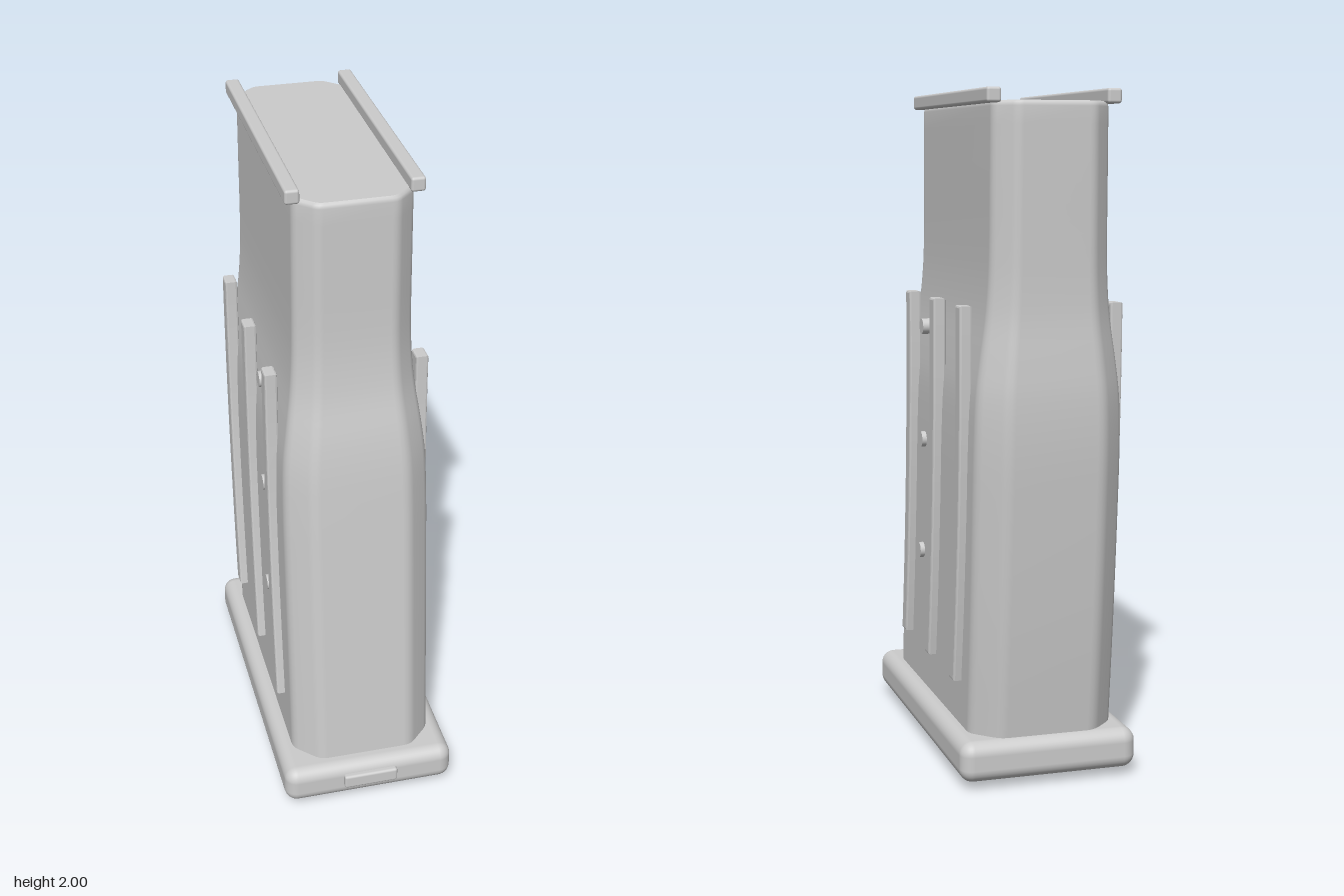
import * as THREE from 'three';
import { RoundedBoxGeometry } from 'three/addons/geometries/RoundedBoxGeometry.js';

const material = new THREE.MeshStandardMaterial({ color: 0xcccccc });

function add(parent, name, geometry, x = 0, y = 0, z = 0) {
  const mesh = new THREE.Mesh(geometry, material);
  mesh.name = name;
  mesh.position.set(x, y, z);
  parent.add(mesh);
  return mesh;
}

// Outline of one level: a rectangle with chamfered, slightly softened corners
function outline(halfWidth, front, back, chamfer) {
  const w = halfWidth, c = chamfer;
  const corners = [
    [w, front - c], [w, back + c], [w - c, back], [c - w, back],
    [-w, back + c], [-w, front - c], [c - w, front], [w - c, front],
  ].map(([x, z]) => new THREE.Vector2(x, z));
  const points = [];
  corners.forEach((p, i) => {
    const before = corners[(i + 7) % 8], after = corners[(i + 1) % 8];
    const soft = c * 0.3;
    const a = p.clone().add(before.clone().sub(p).setLength(soft));
    const b = p.clone().add(after.clone().sub(p).setLength(soft));
    points.push(...new THREE.QuadraticBezierCurve(a, p, b).getPoints(3));
  });
  return points;
}

// Skin through outlines stacked in y, closed by flat caps
function loft(levels) {
  const positions = [], index = [];
  const rings = levels.map(([y, ...rest]) => ({ y, points: outline(...rest) }));
  const n = rings[0].points.length;
  const pushRing = ({ y, points }) => points.forEach((p) => positions.push(p.x, y, p.y));
  rings.forEach(pushRing);
  for (let r = 0; r < rings.length - 1; r++) {
    for (let i = 0; i < n; i++) {
      const a = r * n + i, b = r * n + (i + 1) % n;
      index.push(a, b, b + n, a, b + n, a + n);
    }
  }
  [rings[0], rings[rings.length - 1]].forEach((ring, end) => {
    const start = positions.length / 3;
    pushRing(ring);
    for (let i = 1; i < n - 1; i++) {
      if (end) index.push(start, start + i, start + i + 1);
      else index.push(start, start + i + 1, start + i);
    }
  });
  const geometry = new THREE.BufferGeometry();
  geometry.setAttribute('position', new THREE.Float32BufferAttribute(positions, 3));
  geometry.setIndex(index);
  geometry.computeVertexNormals();
  return geometry;
}

// Curved casing: y, half width, front z, back z
function bodyGeometry() {
  const stations = [
    [0.1, 0.22, 0.495, -0.476], [0.45, 0.22, 0.463, -0.513], [0.8, 0.22, 0.43, -0.542],
    [1.0, 0.219, 0.411, -0.555], [1.14, 0.214, 0.396, -0.556], [1.24, 0.202, 0.38, -0.55],
    [1.36, 0.185, 0.354, -0.541], [1.46, 0.177, 0.341, -0.539], [1.56, 0.174, 0.335, -0.54],
    [1.75, 0.173, 0.333, -0.543], [1.95, 0.172, 0.332, -0.546],
  ];
  const widths = new THREE.CatmullRomCurve3(stations.map(([y, w]) => new THREE.Vector3(w, y, 0)));
  const depths = new THREE.CatmullRomCurve3(stations.map(([y, , f, b]) => new THREE.Vector3(f, y, b)));
  const levels = [];
  for (let i = 0; i <= 40; i++) {
    const w = widths.getPoint(i / 40), d = depths.getPoint(i / 40);
    levels.push([d.y, w.x, d.x, d.z, w.x * 0.34]);
  }
  // small bevel round the top
  levels.push([1.96, 0.169, 0.329, -0.543, 0.057], [1.965, 0.162, 0.322, -0.536, 0.054]);
  return loft(levels);
}

// Side rib that leans backward as it rises, then straightens
function ribGeometry() {
  const sweep = 0.088, bottom = 0.28, top = 1.395, w = 0.026, steps = 14;
  const at = (t, side) => [-sweep * (2 * t - t * t) + side * w, bottom + (top - bottom) * t];
  const shape = new THREE.Shape();
  shape.moveTo(...at(0, -1));
  shape.lineTo(...at(0, 1));
  for (let i = 1; i <= steps; i++) shape.lineTo(...at(i / steps, 1));
  for (let i = steps; i > 0; i--) shape.lineTo(...at(i / steps, -1));
  const bevel = 0.006;
  const geometry = new THREE.ExtrudeGeometry(shape, {
    depth: 0.038 - 2 * bevel, bevelThickness: bevel, bevelSize: bevel,
    bevelOffset: -bevel, bevelSegments: 2,
  });
  return geometry.translate(0, 0, bevel - 0.019).rotateY(-Math.PI / 2);
}

export function createModel() {
  const model = new THREE.Group();
  model.name = 'magazine';

  add(model, 'body', bodyGeometry());

  // Floor plate with front tab and grip strips underneath
  add(model, 'basePlate', new RoundedBoxGeometry(0.536, 0.121, 1.06, 4, 0.04), 0, 0.083, 0.015);
  add(model, 'frontTab', new RoundedBoxGeometry(0.17, 0.046, 0.04, 2, 0.008), 0, 0.09, 0.54);
  for (const z of [0.265, 0.008, -0.25]) {
    add(model, 'gripStrip', new RoundedBoxGeometry(0.39, 0.04, 0.08, 2, 0.006), 0, 0.02, z);
  }

  const rib = ribGeometry();
  const stud = new THREE.CylinderGeometry(0.024, 0.024, 0.03, 20).rotateZ(Math.PI / 2);
  const lip = new RoundedBoxGeometry(0.042, 0.042, 0.828, 3, 0.008);
  for (const side of [1, -1]) {
    // Feed lips along the top edges
    add(model, side > 0 ? 'leftFeedLip' : 'rightFeedLip', lip, side * 0.175, 1.979, -0.111);
    // Side ribs
    for (const z of [0.285, -0.01, -0.303]) add(model, 'sideRib', rib, side * 0.226, 0, z);
    // Round studs between the ribs
    for (const [y, z] of [[1.295, 0.068], [0.94, 0.088], [0.58, 0.119]]) {
      add(model, 'stud', stud, side * 0.219, y, z);
    }
  }
  return model;
}
